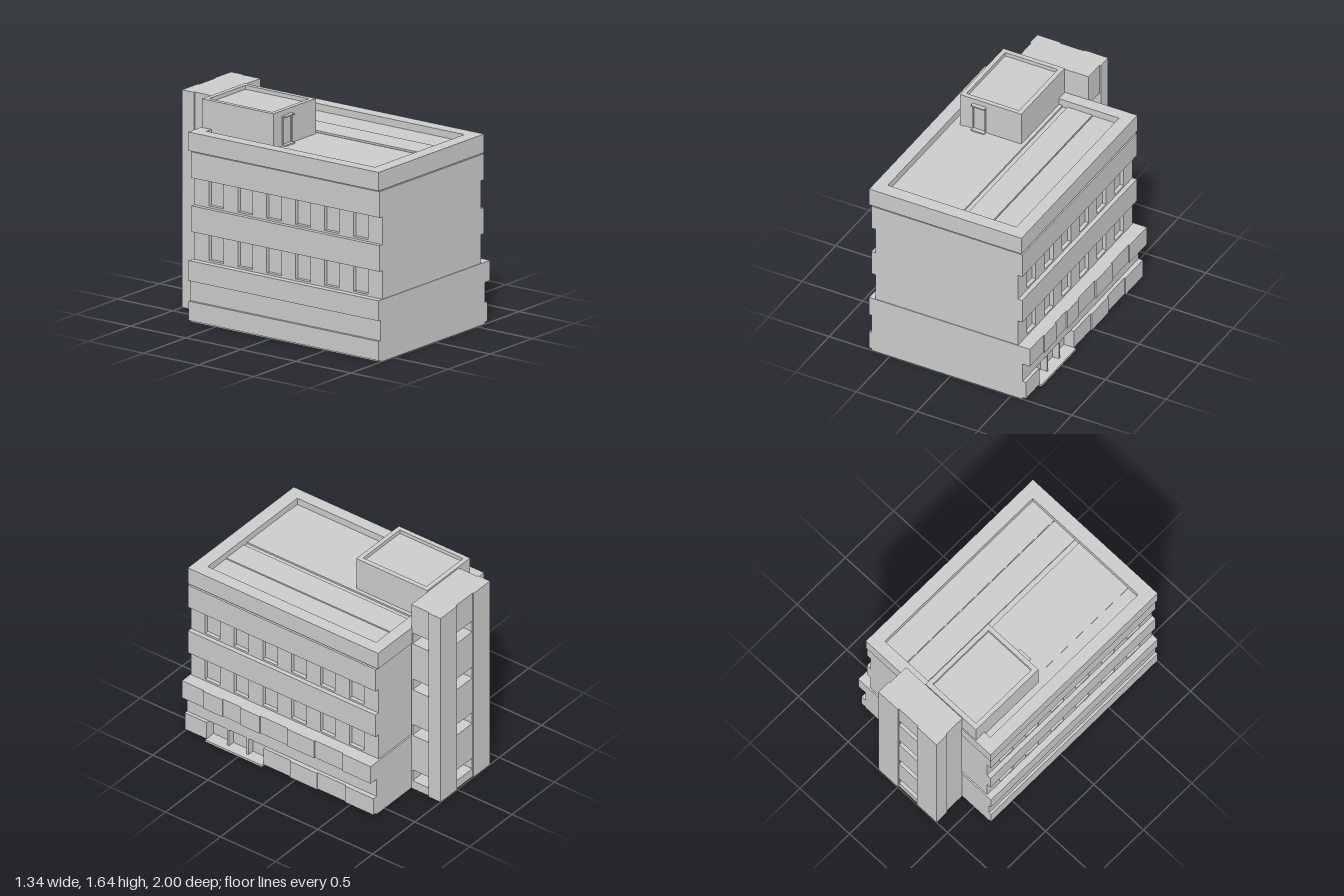
import * as THREE from 'three';

const mat = new THREE.MeshStandardMaterial({ color: 0xcccccc, flatShading: true, side: THREE.DoubleSide });

// Box given by its min/max on each axis
function box(parent, name, x0, x1, y0, y1, z0, z1) {
  const m = new THREE.Mesh(new THREE.BoxGeometry(x1 - x0, y1 - y0, z1 - z0), mat);
  m.position.set((x0 + x1) / 2, (y0 + y1) / 2, (z0 + z1) / 2);
  m.name = name;
  parent.add(m);
  return m;
}

function group(parent, name) {
  const g = new THREE.Group();
  g.name = name;
  parent.add(g);
  return g;
}

function rect(Type, x0, x1, y0, y1) {
  const p = new Type();
  p.moveTo(x0, y0);
  p.lineTo(x1, y0);
  p.lineTo(x1, y1);
  p.lineTo(x0, y1);
  p.closePath();
  return p;
}

// Upright rectangular frame: outer and inner plan rectangles [x0, x1, z0, z1]
function rim(parent, name, o, i, y0, y1) {
  const s = rect(THREE.Shape, o[0], o[1], -o[3], -o[2]);
  s.holes.push(rect(THREE.Path, i[0], i[1], -i[3], -i[2]));
  const m = new THREE.Mesh(new THREE.ExtrudeGeometry(s, { depth: y1 - y0, bevelEnabled: false }), mat);
  m.rotation.x = -Math.PI / 2;
  m.position.y = y0;
  m.name = name;
  parent.add(m);
}

// Wall in its own plane with one slit opening per landing
const landings = [0.07, 0.475, 0.88, 1.29];
function slitWall(parent, name, u0, u1, a, b, y1, depth) {
  const s = rect(THREE.Shape, u0, u1, 0, y1);
  for (const y of landings) s.holes.push(rect(THREE.Path, a, b, y, y + 0.097));
  const m = new THREE.Mesh(new THREE.ExtrudeGeometry(s, { depth, bevelEnabled: false }), mat);
  m.name = name;
  parent.add(m);
  return m;
}

function buildGroundFloors(root) {
  const g = group(root, 'groundFloors');
  const zb = -0.725, zf = 1;
  box(g, 'plinth', -0.65, 0.595, 0, 0.015, zb, zf);
  // Plain left-hand bands and the core, with the entrance recess cut out of the core
  box(g, 'lowerCoreBack', -0.65, 0.595, 0.015, 0.16, zb, 0.285);
  box(g, 'lowerCoreEntrance', -0.65, 0.54, 0.015, 0.16, 0.285, 0.8);
  box(g, 'lowerCoreFront', -0.65, 0.595, 0.015, 0.16, 0.8, zf);
  box(g, 'windowBand', -0.65, 0.595, 0.16, 0.313, zb, zf);
  box(g, 'upperCore', -0.65, 0.595, 0.313, 0.465, zb, zf);
  box(g, 'sideBandLow', -0.67, -0.65, 0.015, 0.16, zb, zf);
  box(g, 'sideBandHigh', -0.67, -0.65, 0.313, 0.465, zb, zf);
  // Projecting panels, alternately slightly deeper
  const cuts = [1, 0.8, 0.625, 0.46, 0.285, 0.036, -0.21, -0.467, zb];
  for (let i = 0; i < cuts.length - 1; i++) {
    const d = i % 2 ? 0.01 : 0;
    box(g, 'balconyPanel', 0.595, 0.655 + d, 0.313, 0.465, cuts[i + 1], cuts[i]);
    if (i === 0 || i > 3) box(g, 'basePanel', 0.595, 0.622 + d, 0.015, 0.16, cuts[i + 1], cuts[i]);
  }
  // Entrance step and posts
  box(g, 'entranceStep', 0.54, 0.64, 0, 0.017, 0.285, 0.8);
  for (const z of [0.627, 0.45]) box(g, 'entrancePost', 0.54, 0.595, 0.017, 0.16, z - 0.008, z + 0.008);
}

function buildUpperFloors(root) {
  const g = group(root, 'upperFloors');
  const zb = -0.713, zf = 0.995;
  for (const [y0, y1, y2] of [[0.465, 0.68, 0.875], [0.875, 1.085, 1.28]]) {
    box(g, 'floorCore', -0.59, 0.525, y0, y1, zb, zf);
    box(g, 'spandrelBand', -0.655, 0.59, y1, y2, zb, zf);
    // Piers and sills around six recessed windows on each long side
    for (const [xa, xb] of [[0.525, 0.555], [-0.62, -0.59]]) {
      let z = zf;
      for (let i = 0; i < 6; i++) {
        const top = 0.866 - i * 0.2625, bottom = top - 0.133;
        box(g, 'pier', xa, xb, y0, y1, top, z);
        box(g, 'sill', xa, xb, y0, y0 + 0.015, bottom, top);
        z = bottom;
      }
      box(g, 'pier', xa, xb, y0, y1, zb, z);
    }
  }
}

function buildRoof(root) {
  const g = group(root, 'roof');
  const inner = [-0.575, 0.485, -0.635, 0.895];
  rim(g, 'parapet', [-0.67, 0.585, -0.73, 1], inner, 1.29, 1.43);
  // Roof sheets at slightly different levels
  const sheets = [[-0.575, -0.475, 1.375], [-0.475, 0.02, 1.38], [0.02, 0.06, 1.367], [0.06, 0.265, 1.38], [0.265, 0.272, 1.367], [0.272, 0.485, 1.376]];
  for (const [a, b, y] of sheets) box(g, 'roofSheet', a, b, 1.29, y, inner[2], inner[3]);
}

function buildPenthouse(root) {
  const g = group(root, 'penthouse');
  box(g, 'penthouseBody', -0.515, -0.01, 1.37, 1.615, -0.722, -0.075);
  rim(g, 'penthouseParapet', [-0.515, -0.01, -0.722, -0.075], [-0.48, -0.047, -0.685, -0.11], 1.615, 1.645);
  // Door with frame, canopy and doorstep
  box(g, 'doorCanopy', -0.41, -0.3, 1.595, 1.605, -0.075, -0.043);
  for (const x of [-0.41, -0.308]) box(g, 'doorJamb', x, x + 0.008, 1.38, 1.595, -0.075, -0.067);
  box(g, 'doorStep', -0.41, -0.3, 1.375, 1.39, -0.075, -0.043);
}

function buildStairTower(root) {
  const g = group(root, 'stairTower');
  const top = 1.635, t = 0.012;
  box(g, 'cornerColumn', 0, 0.195, 0, top, -1, -0.89);
  box(g, 'cornerBackWall', -0.39, -0.195, 0, top, -1, -1 + t);
  box(g, 'cornerSideWall', -0.39, -0.39 + t, 0, top, -1 + t, -0.89);
  box(g, 'cornerReturn', -0.195 - t, -0.195, 0, top, -1 + t, -0.89);
  box(g, 'farSideWall', -0.38, -0.38 + t, 0, top, -0.89, -0.725);
  box(g, 'frontWall', -0.38 + t, 0.185 - t, 0, top, -0.737, -0.725);
  // Walls with slit openings at every landing
  slitWall(g, 'backPanel', -0.195, 0, -0.19, -0.005, top, t).position.z = -0.99;
  const side = slitWall(g, 'nearSideWall', 0.725, 0.89, 0.74, 0.885, top, t);
  side.rotation.y = Math.PI / 2;
  side.position.x = 0.185 - t;
  for (const y of landings) {
    box(g, 'landing', -0.368, 0.173, y - 0.012, y, -0.89, -0.737);
    box(g, 'landingEnd', -0.195, 0, y - 0.012, y, -0.978, -0.89);
  }
  box(g, 'towerRoof', -0.368, 0.173, top - 0.02, top, -0.89, -0.737);
  box(g, 'towerRoofMiddle', -0.195, 0, top - 0.02, top, -0.978, -0.89);
  box(g, 'towerRoofCorner', -0.378, -0.207, top - 0.02, top, -0.988, -0.89);
}

export function createModel() {
  const root = new THREE.Group();
  root.name = 'officeBuilding';
  buildGroundFloors(root);
  buildUpperFloors(root);
  buildRoof(root);
  buildPenthouse(root);
  buildStairTower(root);
  return root;
}
